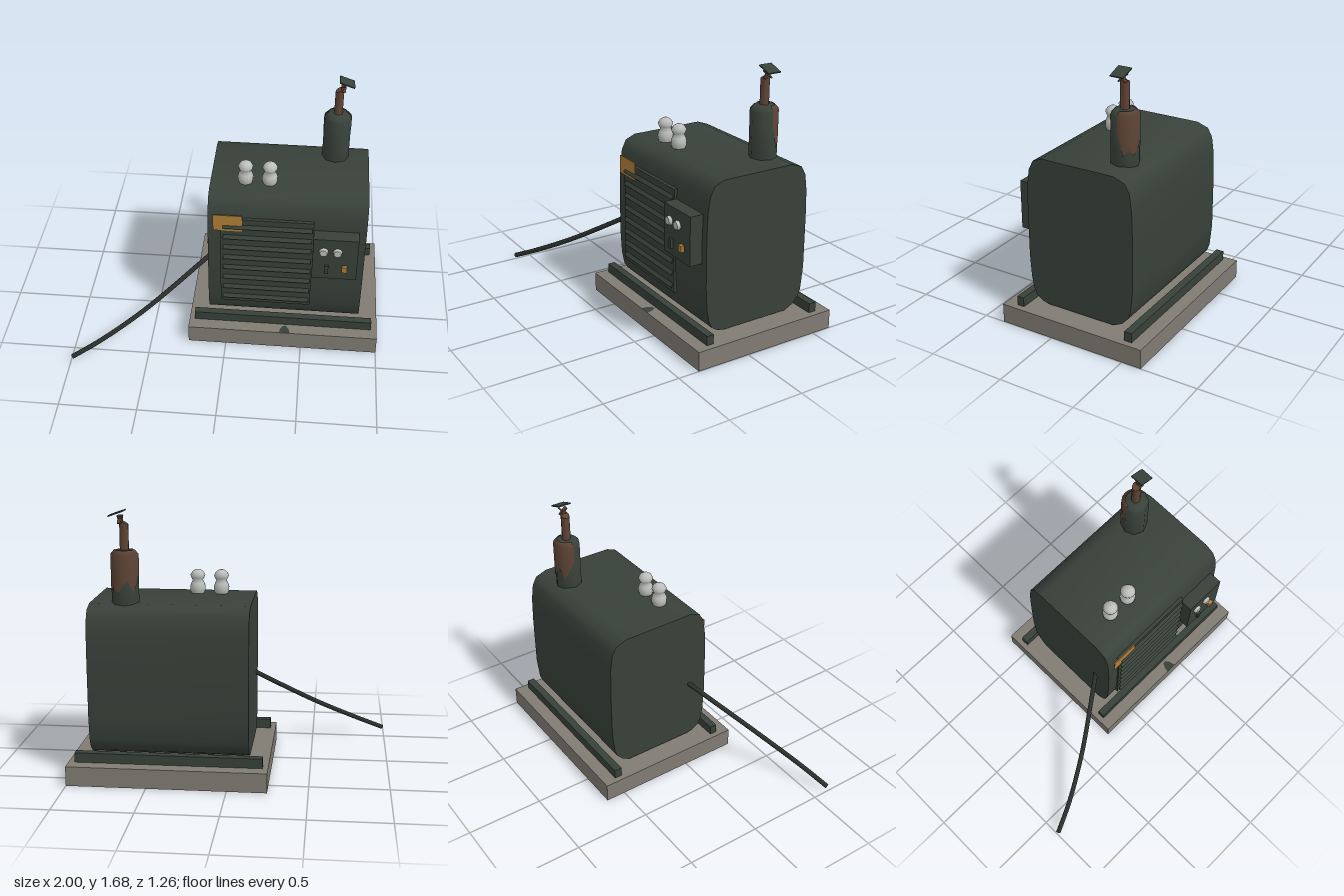
import * as THREE from 'three';
import { toCreasedNormals } from 'three/addons/utils/BufferGeometryUtils.js';

const mat = (name, color, side = THREE.FrontSide) => {
  const m = new THREE.MeshStandardMaterial({ color, side });
  m.name = name;
  return m;
};

export function createModel() {
  const group = new THREE.Group();
  const green = mat('dark green paint', 0x38413a);
  const concrete = mat('concrete', 0x807c73);
  const rust = mat('rust', 0x5e4335, THREE.DoubleSide);
  const orange = mat('amber', 0xb07e38);
  const porcelain = mat('porcelain', 0xbcbfbb);
  const rubber = mat('black rubber', 0x2b302d);

  const add = (name, geometry, material, x = 0, y = 0, z = 0) => {
    const mesh = new THREE.Mesh(geometry, material);
    mesh.name = name;
    mesh.position.set(x, y, z);
    group.add(mesh);
    return mesh;
  };
  // Box given by its extents on each axis
  const box = (name, material, x0, x1, y0, y1, z0, z1) =>
    add(name, new THREE.BoxGeometry(x1 - x0, y1 - y0, z1 - z0), material,
      (x0 + x1) / 2, (y0 + y1) / 2, (z0 + z1) / 2);
  const lathe = (points, segments, start, length) =>
    new THREE.LatheGeometry(points.map(p => new THREE.Vector2(...p)), segments, start, length);

  // Concrete slab and the two skid rails
  box('slab', concrete, -0.25, 1, 0, 0.125, -0.63, 0.36);
  box('frontRail', green, -0.215, 0.96, 0.125, 0.187, 0.23, 0.277);
  box('backRail', green, -0.215, 0.96, 0.125, 0.187, -0.545, -0.495);

  // Dark stains at the slab edges
  const stain = new THREE.Shape([[-0.037, 0], [0.037, 0], [0.025, 0.045], [0.005, 0.07], [-0.015, 0.062], [-0.03, 0.035]]
    .map(p => new THREE.Vector2(...p)));
  const stainTop = add('topStain', new THREE.ShapeGeometry(stain), green, 0.39, 0.127, 0.36);
  stainTop.rotation.x = -Math.PI / 2;
  const stainBottom = add('bottomStain', new THREE.ShapeGeometry(stain), green, 0.41, -0.001, -0.63);
  stainBottom.rotation.x = Math.PI / 2;

  // Housing: rounded section in z and y, extruded along x
  const section = new THREE.Shape([
    [0.10, 0.142], [0.145, 0.152], [0.182, 0.175], [0.205, 0.215], [0.222, 0.30], [0.231, 0.45],
    [0.232, 0.75], [0.227, 0.92], [0.212, 1.02], [0.182, 1.08], [0.115, 1.107],
    [-0.375, 1.107], [-0.45, 1.08], [-0.48, 1.025], [-0.495, 0.92], [-0.5, 0.75],
    [-0.5, 0.41], [-0.485, 0.26], [-0.468, 0.215], [-0.43, 0.172], [-0.37, 0.142],
  ].map(p => new THREE.Vector2(...p)));
  const housing = new THREE.ExtrudeGeometry(section, { depth: 1, bevelEnabled: false });
  housing.rotateY(-Math.PI / 2);
  add('housing', toCreasedNormals(housing, 0.9), green, 0.875);

  // Louvred grille
  box('grillePanel', green, -0.043, 0.545, 0.285, 0.967, 0.205, 0.242);
  for (let i = 0; i < 8; i++) {
    const slat = add('louvre', new THREE.BoxGeometry(0.562, 0.03, 0.008), green, 0.254, 0.912 - i * 0.083, 0.247);
    slat.rotation.x = -0.65;
  }
  box('warningPlate', orange, -0.09, 0.093, 0.877, 0.997, 0.24, 0.247);

  // Control box with gauges, switch and lamp
  box('controlBox', green, 0.545, 0.828, 0.593, 0.905, 0.22, 0.316);
  for (const x of [0.612, 0.7]) {
    const gauge = add('gauge', new THREE.CylinderGeometry(0.024, 0.03, 0.022, 12), porcelain, x, 0.811, 0.325);
    gauge.rotation.x = Math.PI / 2;
  }
  box('switch', green, 0.625, 0.648, 0.643, 0.705, 0.31, 0.333);
  box('lamp', orange, 0.732, 0.766, 0.663, 0.705, 0.31, 0.338);

  // Insulators on the roof
  const bulb = [[0.04, 1.1], [0.049, 1.125], [0.05, 1.15], [0.043, 1.172], [0.033, 1.19],
    [0.042, 1.206], [0.048, 1.225], [0.036, 1.246], [0.017, 1.259], [0, 1.261]];
  for (const x of [0.096, 0.25]) add('insulator', lathe(bulb, 14), porcelain, x, 0, 0.02);

  // Exhaust silencer with a ragged rust patch round its back half
  const ex = 0.657, ez = -0.32;
  add('silencer', toCreasedNormals(lathe([[0.086, 1.1], [0.086, 1.408], [0.062, 1.434], [0, 1.436]], 8), 0.9),
    green, ex, 0, ez);
  const patch = lathe([[0.088, 1.2], [0.088, 1.41], [0.063, 1.437]], 8, Math.PI / 2, Math.PI);
  const pos = patch.attributes.position;
  const ragged = [0.12, -0.03, 0.01, -0.03, 0.02, 0.05, -0.02, 0.03, 0.1];
  for (let i = 0; i < pos.count; i += 3) pos.setY(i, 1.2 + ragged[i / 3]);
  add('rustPatch', patch, rust, ex, 0, ez);

  // Exhaust pipe with a slanted mouth
  const pipe = new THREE.CylinderGeometry(0.028, 0.028, 0.17, 10, 1);
  const pp = pipe.attributes.position;
  for (let i = 0; i < pp.count; i++) if (pp.getY(i) > 0) pp.setY(i, 0.09 + pp.getX(i) * 0.5);
  pipe.computeVertexNormals();
  add('exhaustPipe', toCreasedNormals(pipe, 0.9), rust, ex, 1.515, ez);

  // Hinged rain cap on a narrow crossed bracket
  for (const s of [-1, 1]) {
    const strut = add('capBracket', new THREE.BoxGeometry(0.03, 0.066, 0.009), rust, ex + 0.022, 1.622, ez);
    strut.rotation.set(s * 0.8, 0, 0);
  }
  const cap = add('rainCap', new THREE.BoxGeometry(0.1, 0.008, 0.088), green, ex + 0.042, 1.66, ez);
  cap.rotation.z = -0.34;

  // Cable trailing from the side down to the ground
  const path = new THREE.CatmullRomCurve3([
    [-0.06, 0.6, 0.07], [-0.125, 0.555, 0.11], [-0.52, 0.285, 0.375], [-0.8, 0.125, 0.53], [-0.99, 0.03, 0.612],
  ].map(p => new THREE.Vector3(...p)));
  add('cable', new THREE.TubeGeometry(path, 20, 0.016, 8), rubber);
  const end = add('cableEnd', new THREE.CircleGeometry(0.016, 8), rubber, -0.99, 0.03, 0.612);
  end.lookAt(new THREE.Vector3(-0.99, 0.03, 0.612).add(path.getTangent(1)));

  return group;
}
